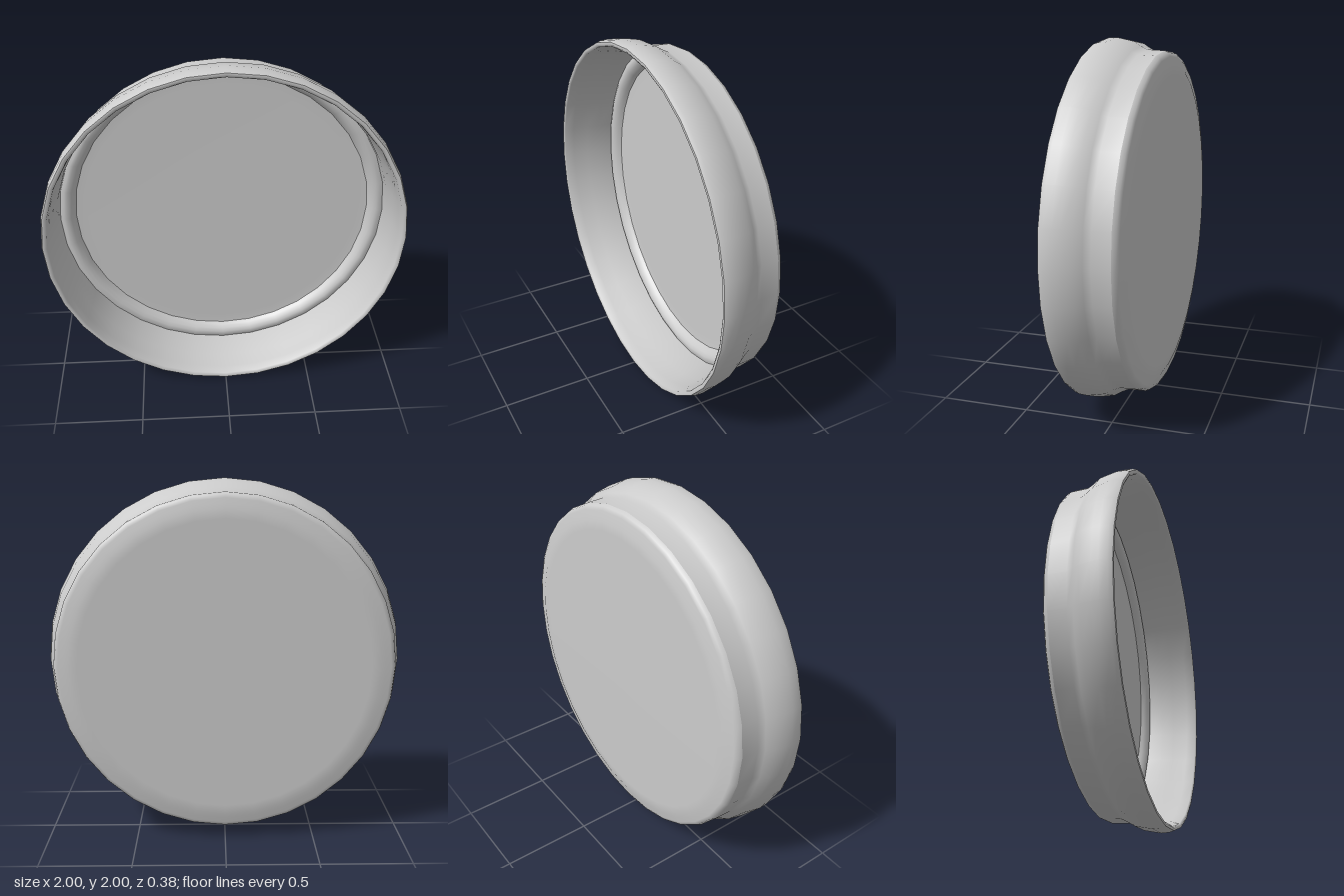
import * as THREE from 'three';

const SEGMENTS = 32;

// Revolves [radius, z] points around the z axis
function revolve(name, points, material) {
  const profile = points.map(([r, z]) => new THREE.Vector2(r, z));
  const geometry = new THREE.LatheGeometry(profile, SEGMENTS);
  geometry.rotateX(Math.PI / 2);
  const mesh = new THREE.Mesh(geometry, material);
  mesh.name = name;
  return mesh;
}

export function createModel() {
  const lid = new THREE.Group();
  lid.name = 'jarLid';
  const metal = new THREE.MeshStandardMaterial({ color: 0xcccccc, side: THREE.DoubleSide });

  // Closed back: slightly raised panel with a rounded shoulder
  lid.add(revolve('backPanel', [
    [0, -0.188], [0.8, -0.188], [0.85, -0.186], [0.875, -0.176],
    [0.905, -0.175], [0.925, -0.165], [0.934, -0.145],
  ], metal));

  // Outer skirt flaring to a wider band at the open front
  lid.add(revolve('skirt', [
    [0.934, -0.145], [0.938, -0.05], [0.955, -0.015], [0.98, 0.025],
    [0.992, 0.08], [1, 0.12], [0.998, 0.165], [0.99, 0.188],
  ], metal));

  // Rolled front lip and inner wall
  lid.add(revolve('rimAndInnerWall', [
    [0.99, 0.188], [0.978, 0.19], [0.966, 0.182], [0.958, 0.13],
    [0.945, 0.04], [0.93, -0.03], [0.925, -0.115],
  ], metal));

  // Soft sealing bead around the inner floor
  lid.add(revolve('sealRing', [
    [0.925, -0.115], [0.905, -0.107], [0.885, -0.108], [0.865, -0.118],
    [0.85, -0.135], [0.84, -0.152],
  ], metal));

  // Flat inner floor
  lid.add(revolve('innerFloor', [[0.84, -0.152], [0.78, -0.155], [0, -0.155]], metal));

  lid.position.y = 1;
  const model = new THREE.Group();
  model.add(lid);
  return model;
}
